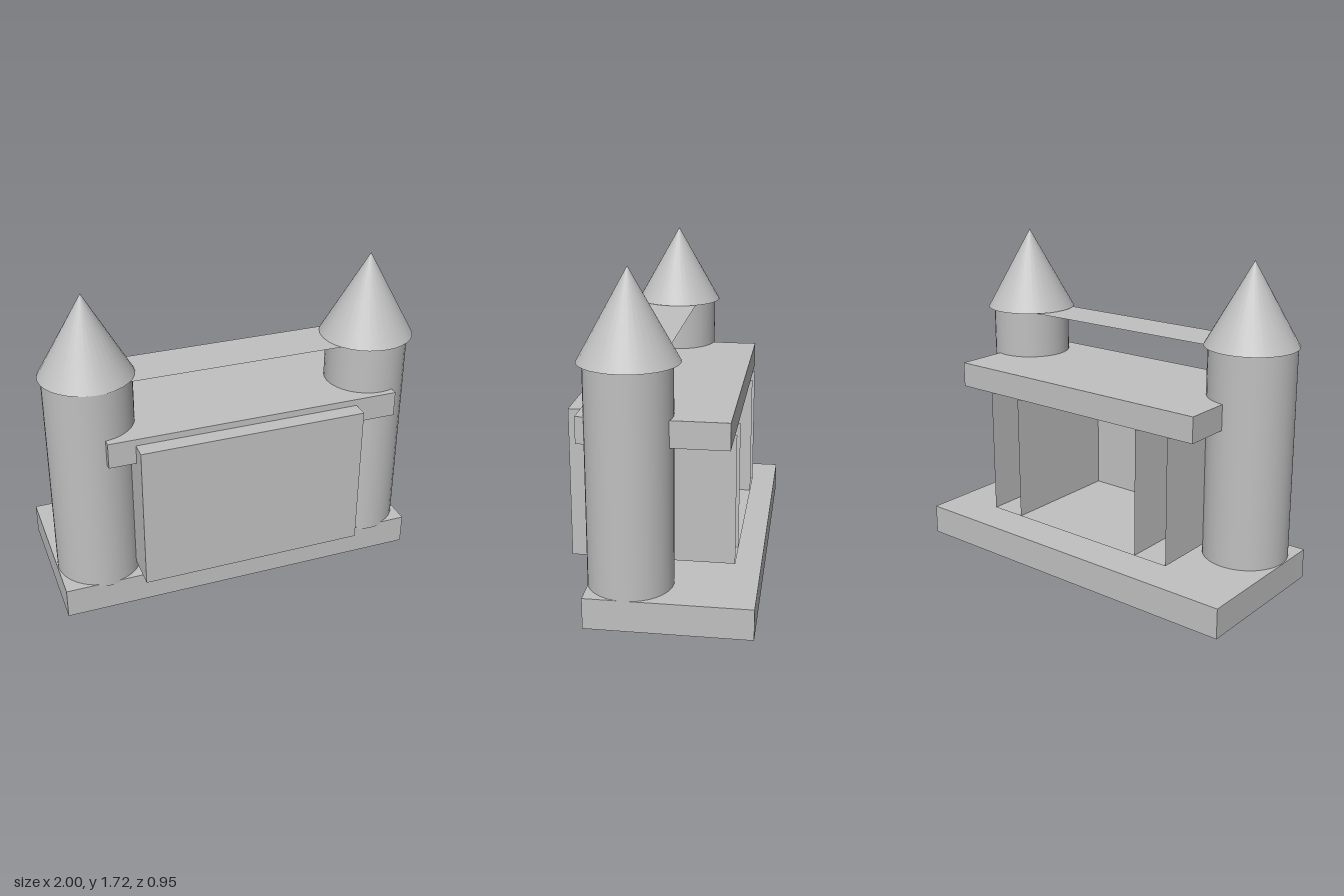
import * as THREE from 'three';

export function createModel() {
  const model = new THREE.Group();
  const stone = new THREE.MeshStandardMaterial({ color: 0xc0c0c0 });
  stone.name = 'grey stone';
  const thinStone = new THREE.MeshStandardMaterial({ color: 0xc0c0c0, side: THREE.DoubleSide });
  thinStone.name = 'grey stone sheet';

  const add = (name, geometry, x, y, z, material = stone) => {
    const mesh = new THREE.Mesh(geometry, material);
    mesh.name = name;
    mesh.position.set(x, y, z);
    model.add(mesh);
    return mesh;
  };
  // Box given by its lower and upper corners
  const box = (name, [x0, y0, z0], [x1, y1, z1]) =>
    add(name, new THREE.BoxGeometry(x1 - x0, y1 - y0, z1 - z0), (x0 + x1) / 2, (y0 + y1) / 2, (z0 + z1) / 2);

  box('base', [-0.99, 0, -0.48], [0.965, 0.16, 0.345]);
  box('roofSlab', [-0.735, 0.885, -0.345], [0.82, 1.02, 0.388]);
  box('frontWall', [-0.595, 0.21, 0.32], [0.595, 0.985, 0.475]);

  // Thin side walls, an outer and an inner sheet on each side, open at the back
  for (const side of [-1, 1]) {
    for (const [name, x] of [['outerSideWall', 0.595], ['innerSideWall', 0.4]]) {
      const wall = new THREE.PlaneGeometry(0.675, 0.675).rotateY(Math.PI / 2);
      add(name, wall, side * x, 0.5475, -0.0175, thinStone);
    }
  }

  // Hall floor, raised just above the base
  add('hallFloor', new THREE.PlaneGeometry(1.19, 0.675).rotateX(-Math.PI / 2), 0, 0.21, -0.0175, thinStone);

  // Upward-facing walkway sheet between the tower tops
  add('walkway', new THREE.PlaneGeometry(1.3, 0.275).rotateX(-Math.PI / 2), 0, 1.275, 0.1325);

  // Round towers with pointed roofs
  const towers = [
    { name: 'rightTower', x: -0.76, z: 0.128, r: 0.225, roofX: -0.76, roofZ: 0.117, roofR: 0.24, top: 1.7 },
    { name: 'leftTower', x: 0.753, z: 0.143, r: 0.214, roofX: 0.75, roofZ: 0.14, roofR: 0.246, top: 1.72 },
  ];
  for (const t of towers) {
    add(t.name, new THREE.CylinderGeometry(t.r, t.r, 1.135, 32), t.x, 0.7125, t.z);
    add(t.name + 'Roof', new THREE.ConeGeometry(t.roofR, t.top - 1.278, 32), t.roofX, (t.top + 1.278) / 2, t.roofZ);
  }

  return model;
}
